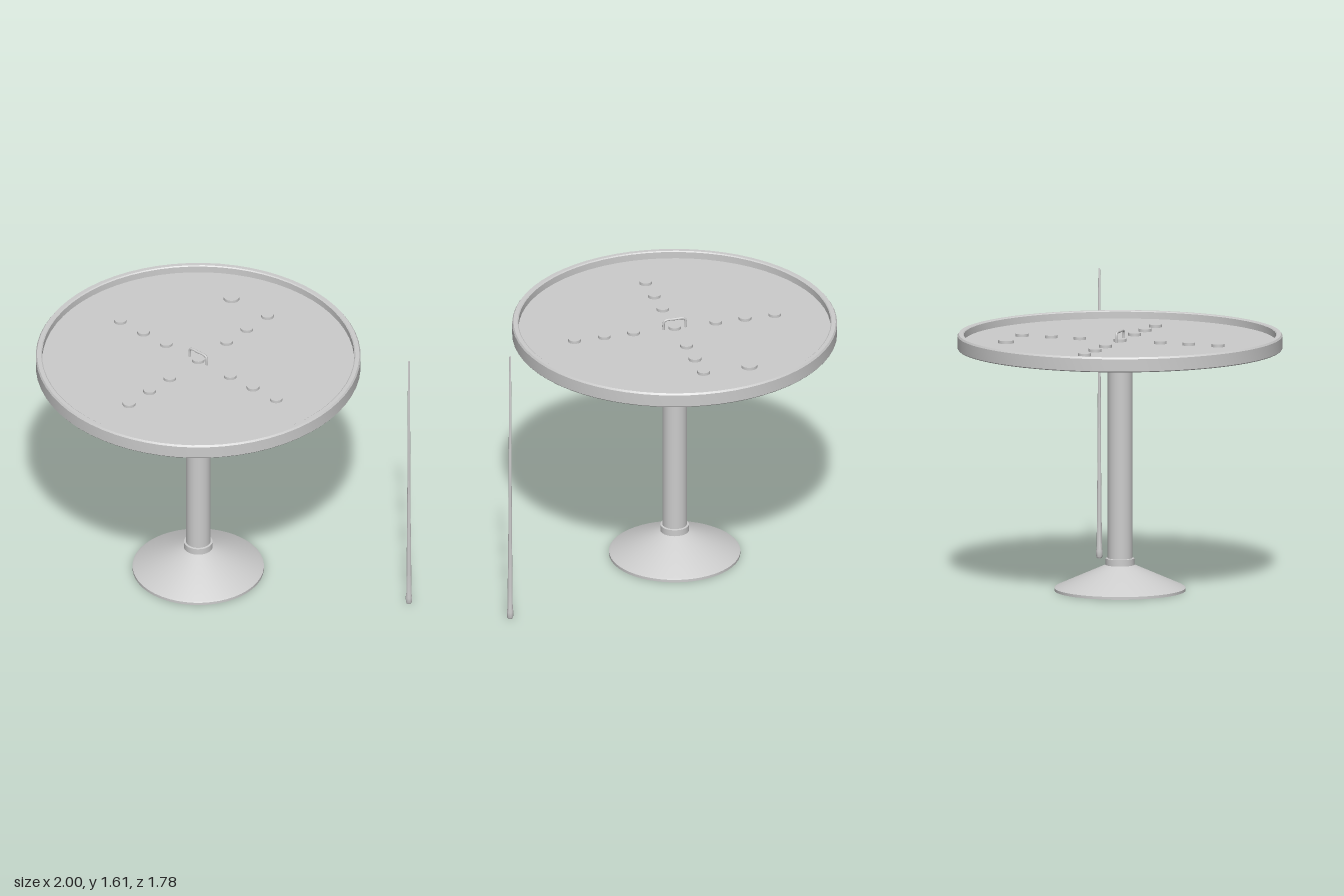
import * as THREE from 'three';
import { toCreasedNormals } from 'three/addons/utils/BufferGeometryUtils.js';

const FLOOR = 1.38; // height of the recessed playing surface

export function createModel() {
  const model = new THREE.Group();
  const material = new THREE.MeshStandardMaterial({ color: 0xcccccc, side: THREE.DoubleSide });

  const add = (name, geometry, parent, x = 0, y = 0, z = 0) => {
    const mesh = new THREE.Mesh(geometry, material);
    mesh.name = name;
    mesh.position.set(x, y, z);
    parent.add(mesh);
    return mesh;
  };
  // Profile points are [radius, height], listed from bottom to top
  const lathe = (points, segments) => toCreasedNormals(
    new THREE.LatheGeometry(points.map(([r, y]) => new THREE.Vector2(r, y)), segments), 0.5);

  const table = new THREE.Group();
  table.name = 'table';
  table.position.x = -0.108;
  model.add(table);

  // Round top: flat underside, raised rim with eased edges, recessed surface
  add('tableTop', lathe([
    [0, 1.34], [0.888, 1.34], [0.892, 1.345], [0.892, 1.413], [0.885, 1.423],
    [0.863, 1.423], [0.857, 1.418], [0.857, FLOOR], [0, FLOOR],
  ], 64), table);

  // Pedestal
  add('flange', lathe([[0.068, 1.317], [0.078, 1.322], [0.089, 1.331], [0.089, 1.34]], 40), table);
  add('column', new THREE.CylinderGeometry(0.068, 0.068, 1.2, 40), table, 0, 0.74);
  add('collar', lathe([[0.068, 0.14], [0.079, 0.14], [0.079, 0.178], [0.068, 0.18]], 40), table);
  // Hollow conical foot
  add('base', lathe([
    [0.068, 0.13], [0.345, 0.01], [0.35, 0], [0.361, 0], [0.361, 0.015], [0.35, 0.022], [0.079, 0.142],
  ], 48), table);

  // Low discs in a cross on the playing surface
  const disc = new THREE.CylinderGeometry(0.035, 0.035, 0.016, 24);
  const discY = FLOOR + 0.008;
  add('centreDisc', disc, table, 0, discY, 0);
  for (const r of [0.235, 0.402, 0.572]) {
    for (const [dx, dz] of [[1, 0], [-1, 0], [0, 1], [0, -1]]) {
      add('disc', disc, table, dx * r, discY, dz * r);
    }
  }
  add('largeDisc', new THREE.CylinderGeometry(0.044, 0.044, 0.016, 28), table, -0.262, discY, -0.57);

  // Wire handle arching over the centre
  const arch = new THREE.CatmullRomCurve3([
    [-0.063, FLOOR], [-0.063, 1.415], [-0.058, 1.43], [-0.045, 1.436], [0, 1.436],
    [0.045, 1.436], [0.058, 1.43], [0.063, 1.415], [0.063, FLOOR],
  ].map(([x, y]) => new THREE.Vector3(x, y, 0)));
  add('handle', new THREE.TubeGeometry(arch, 40, 0.007, 10), table);

  // Slender tapered stick standing beside the table
  add('stick', lathe([
    [0, 0], [0.013, 0], [0.017, 0.008], [0.018, 0.04], [0.0145, 0.065], [0.0135, 0.2],
    [0.010, 0.55], [0.0085, 0.9], [0.0055, 1.6], [0.004, 1.608], [0, 1.608],
  ], 20), model, 0.981, 0, -0.515);

  return model;
}
